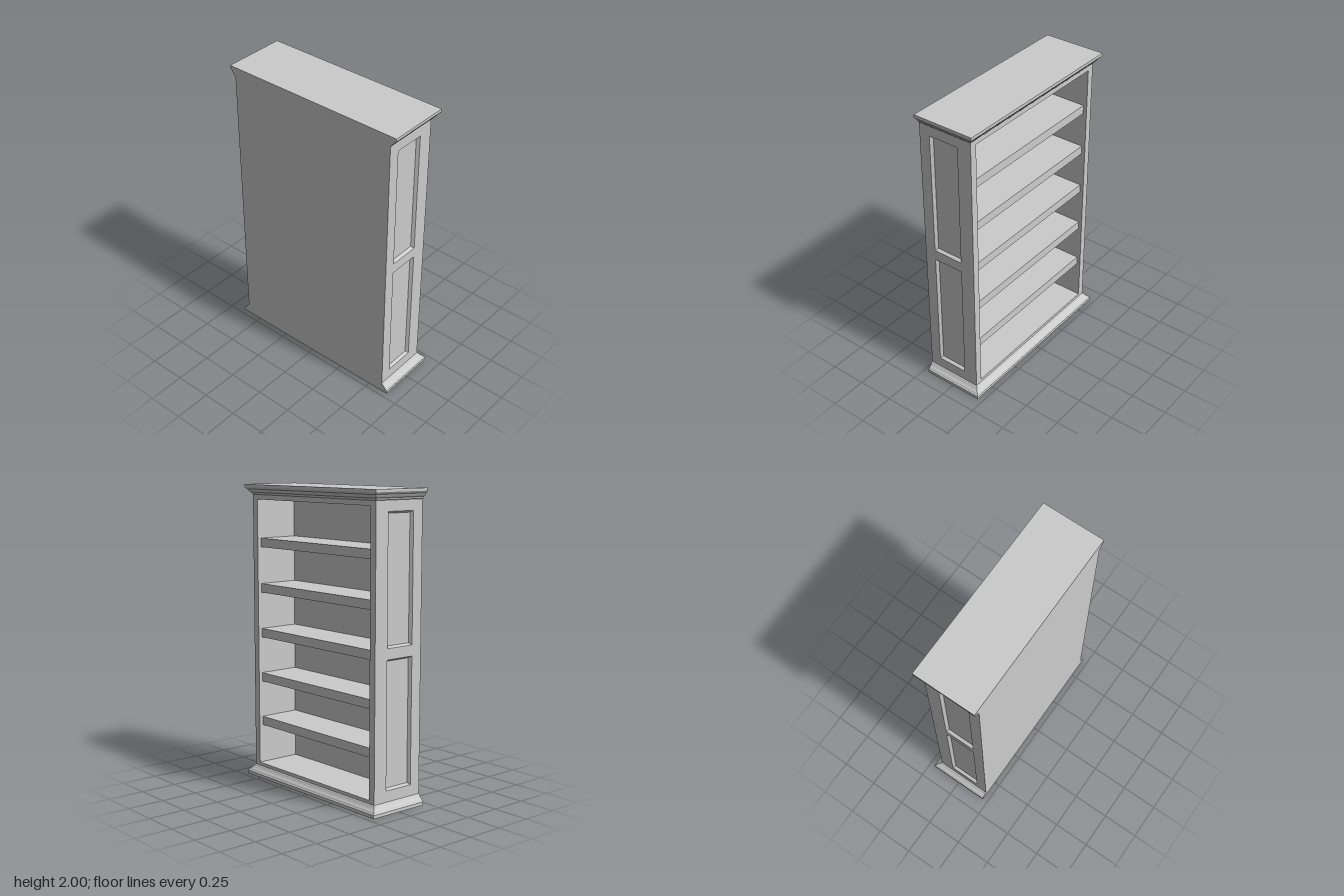
import * as THREE from 'three';

const material = new THREE.MeshStandardMaterial({ color: 0xcccccc, flatShading: true });

// Carcass extents; the open side faces -z
const W = 0.608, INNER = 0.56, OPEN = -0.172, BACK = 0.213;
const LOW = 0.068, HIGH = 1.932, FLOOR = 0.09, CEILING = 1.9, WALL = 0.14;

function add(parent, name, geometry) {
  const mesh = new THREE.Mesh(geometry, material);
  mesh.name = name;
  parent.add(mesh);
  return mesh;
}

// Box given by its min and max corners
function box(parent, name, [x0, y0, z0], [x1, y1, z1]) {
  const mesh = add(parent, name, new THREE.BoxGeometry(x1 - x0, y1 - y0, z1 - z0));
  mesh.position.set((x0 + x1) / 2, (y0 + y1) / 2, (z0 + z1) / 2);
}

// Joins four-cornered loops with flat faces, optionally closing both ends
function loft(loops, capped) {
  const pos = [];
  const quad = (a, b, c, d) => pos.push(...a, ...b, ...c, ...a, ...c, ...d);
  for (let i = 0; i < loops.length - 1; i++) {
    const a = loops[i], b = loops[i + 1];
    for (let j = 0; j < 4; j++) {
      const k = (j + 1) % 4;
      quad(a[j], a[k], b[k], b[j]);
    }
  }
  if (capped) {
    quad(...[...loops[0]].reverse());
    quad(...loops[loops.length - 1]);
  }
  const geometry = new THREE.BufferGeometry();
  geometry.setAttribute('position', new THREE.Float32BufferAttribute(pos, 3));
  geometry.computeVertexNormals();
  return geometry;
}

// Moulding on three sides, flush at the back; profile is [overhang, y] from low to high
function moulding(profile) {
  return loft(profile.map(([o, y]) => {
    const x = W + o, z = OPEN - o;
    return [[x, y, BACK], [x, y, z], [-x, y, z], [-x, y, BACK]];
  }), true);
}

// Side wall: a board faced with a frame holding two bevelled, sunken panels
function sideWall(s) {
  const side = new THREE.Group();
  side.name = s > 0 ? 'leftSide' : 'rightSide';
  side.rotation.y = s * Math.PI / 2;
  const depth = 0.02, bevel = 0.012;
  const span = (z0, z1) => [-s * z0, -s * z1].sort((a, b) => a - b);
  const rect = (u0, u1, y0, y1) => [[u0, y0], [u1, y0], [u1, y1], [u0, y1]];
  const points = (r) => r.map(([u, y]) => new THREE.Vector2(u, y));
  const [e0, e1] = span(OPEN, BACK), [p0, p1] = span(-0.072, 0.137);
  box(side, 'sideBoard', [e0, LOW, INNER], [e1, HIGH, W - depth]);

  const frame = new THREE.Shape(points(rect(e0, e1, LOW, HIGH)));
  for (const [y0, y1] of [[0.14, 0.967], [1.037, 1.865]]) {
    frame.holes.push(new THREE.Path(points(rect(p0, p1, y0, y1)).reverse()));
    const outer = rect(p0, p1, y0, y1).map(([u, y]) => [u, y, W]);
    const inner = rect(p0 + bevel, p1 - bevel, y0 + bevel, y1 - bevel)
      .map(([u, y]) => [u, y, W - depth]);
    add(side, 'panelBevel', loft([outer, inner], false));
  }
  const geometry = new THREE.ExtrudeGeometry(frame, { depth, bevelEnabled: false });
  add(side, 'sideFrame', geometry.translate(0, 0, W - depth));
  return side;
}

export function createModel() {
  const bookcase = new THREE.Group();
  bookcase.name = 'bookcase';

  bookcase.add(sideWall(1), sideWall(-1));

  // Back, floor and ceiling
  box(bookcase, 'backPanel', [-INNER, LOW, WALL], [INNER, HIGH, BACK]);
  box(bookcase, 'floorBoard', [-INNER, LOW, OPEN], [INNER, FLOOR, WALL]);
  box(bookcase, 'ceilingBoard', [-INNER, CEILING, OPEN], [INNER, HIGH, WALL]);

  // Five shelves set slightly behind the opening
  for (let i = 0; i < 5; i++) {
    const top = 0.413 + i * 0.307;
    box(bookcase, 'shelf', [-INNER, top - 0.06, OPEN + 0.026], [INNER, top, WALL]);
  }

  // Stepped crown and plinth
  add(bookcase, 'crownMoulding', moulding([
    [0, HIGH], [0.006, 1.938], [0.008, 1.946], [0.018, 1.952], [0.024, 1.962],
    [0.026, 1.968], [0.034, 1.972], [0.041, 1.982], [0.041, 2],
  ]));
  add(bookcase, 'baseMoulding', moulding([
    [0, 0], [0.041, 0], [0.041, 0.022], [0.034, 0.028], [0.03, 0.036],
    [0.018, 0.046], [0.009, 0.058], [0.006, 0.064], [0, LOW],
  ].slice(1)));

  return bookcase;
}
